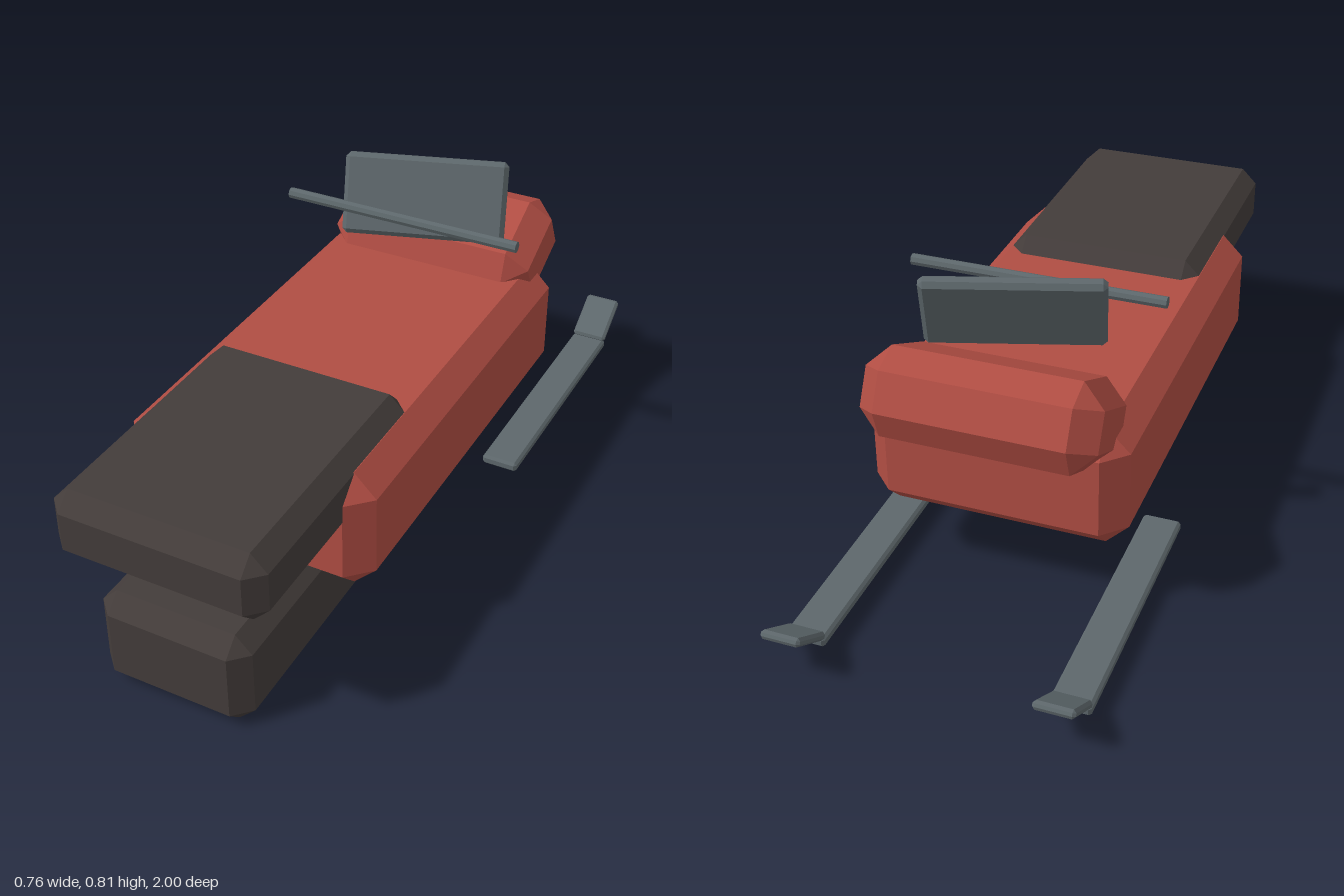
import * as THREE from 'three';
import { ConvexGeometry } from 'three/addons/geometries/ConvexGeometry.js';

// Box with 45 degree chamfers on all edges and corners
function chamferBox(w, h, d, c) {
  const half = [w / 2, h / 2, d / 2];
  const points = [];
  for (const sx of [-1, 1]) for (const sy of [-1, 1]) for (const sz of [-1, 1]) {
    for (let axis = 0; axis < 3; axis++) {
      const [x, y, z] = half.map((v, i) => (i === axis ? v : v - c));
      points.push(new THREE.Vector3(sx * x, sy * y, sz * z));
    }
  }
  return new ConvexGeometry(points);
}

export function createModel() {
  const red = new THREE.MeshStandardMaterial({ name: 'red body', color: 0xb04d43 });
  const dark = new THREE.MeshStandardMaterial({ name: 'dark rubber', color: 0x433c3a });
  const grey = new THREE.MeshStandardMaterial({ name: 'grey metal', color: 0x5d676b });
  for (const m of [red, dark, grey]) m.flatShading = true;

  const model = new THREE.Group();
  model.name = 'snowmobile';

  function add(name, geometry, material, x, y, z, parent = model) {
    const mesh = new THREE.Mesh(geometry, material);
    mesh.name = name;
    mesh.position.set(x, y, z);
    parent.add(mesh);
    return mesh;
  }

  // Hull, track and seat
  add('body', chamferBox(0.66, 0.325, 1.165, 0.058), red, 0, 0.348, 0.053);
  add('track', chamferBox(0.4, 0.257, 1.095, 0.043), dark, 0, 0.1285, 0.418);
  add('seat', chamferBox(0.546, 0.184, 0.725, 0.042), dark, 0, 0.458, 0.6375);

  // Tilted cowl
  const cowl = add('cowl', chamferBox(0.586, 0.216, 0.296, 0.058), red, 0, 0.53, -0.499);
  cowl.rotation.x = 0.47;

  // Windshield, leaning and turned
  const shield = add('windshield', chamferBox(0.44, 0.22, 0.04, 0.012), grey, 0, 0.707, -0.355);
  shield.rotation.set(-0.36, 0.314, 0, 'YXZ');

  // Handlebar
  const bar = add('handlebar', new THREE.CylinderGeometry(0.015, 0.015, 0.66, 8), grey, 0, 0.713, -0.205);
  bar.rotation.z = Math.PI / 2;

  // Skis with upturned tips
  for (const side of [-1, 1]) {
    const ski = new THREE.Group();
    ski.name = side > 0 ? 'leftSki' : 'rightSki';
    ski.position.x = side * 0.33;
    model.add(ski);
    add('skiRunner', chamferBox(0.1, 0.028, 0.72, 0.007), grey, 0, 0.044, -0.53, ski);
    const tip = add('skiTip', chamferBox(0.1, 0.022, 0.142, 0.007), grey, 0, 0.096, -0.936, ski);
    tip.rotation.x = 0.58;
  }
  return model;
}
